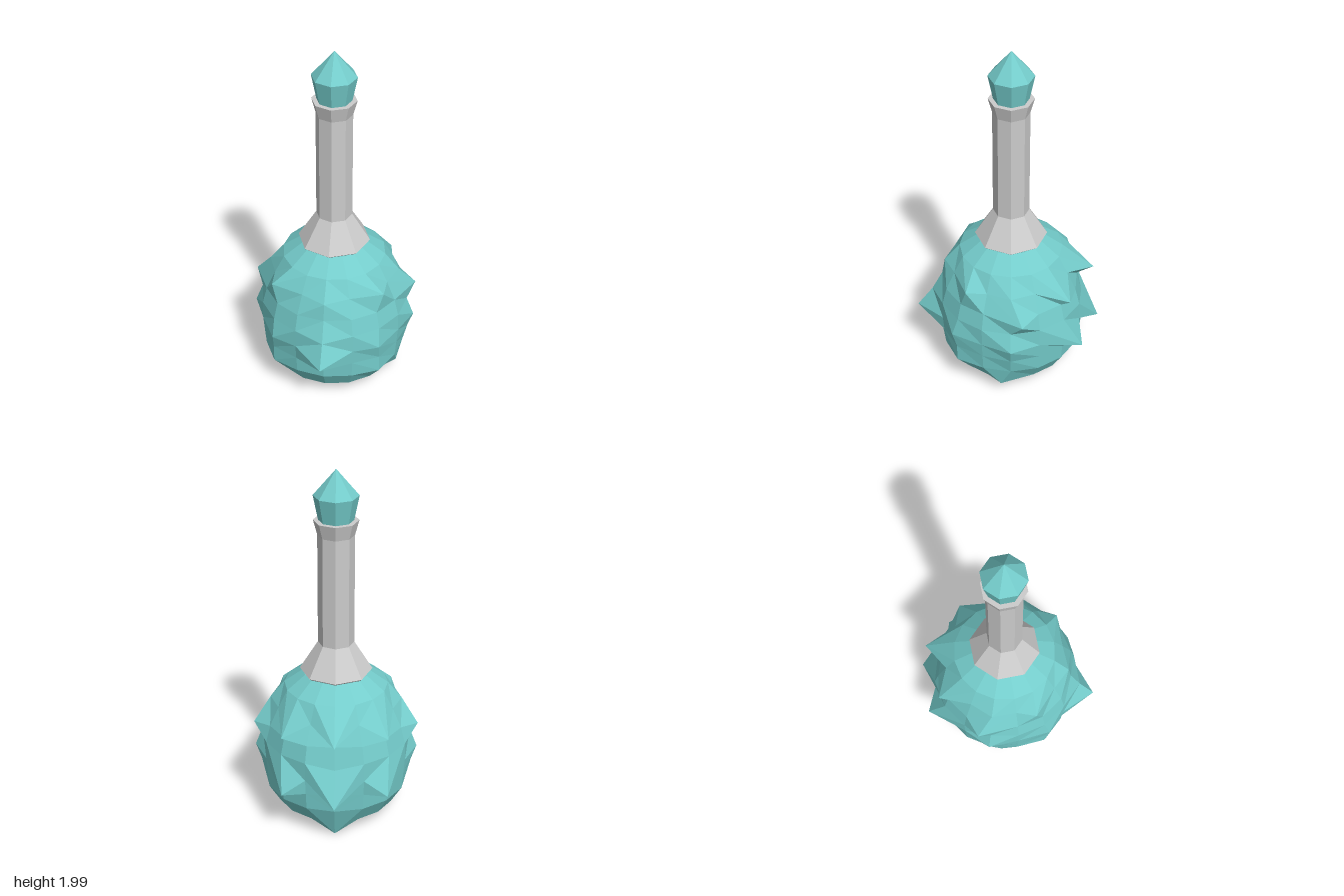
import * as THREE from 'three';

const AXIS_Z = -0.018;
const COLUMNS = 16;

// Rings of the tufted head, top to bottom: [radius, height]
const RINGS = [
  [0, 0.86], [0.18, 0.86], [0.283, 0.785], [0.335, 0.69], [0.385, 0.585], [0.41, 0.49],
  [0.412, 0.385], [0.405, 0.297], [0.397, 0.2], [0.335, 0.095], [0, 0.095],
];

// Tuft tips pulled out of the rings: [ring, column from front to back, x, y, z]
const TIPS = [
  [3, 0, 0, 0.68, 0.35], [3, 2, 0.305, 0.69, 0.225], [3, 4, 0.36, 0.69, -0.018],
  [3, 6, 0.285, 0.61, -0.34], [3, 8, 0, 0.63, -0.477],
  [4, 4, 0.45, 0.565, -0.08], [4, 8, 0, 0.585, -0.385],
  [5, 0, 0, 0.47, 0.425], [5, 8, 0, 0.46, -0.415],
  [6, 0, 0, 0.352, 0.51], [6, 2, 0.295, 0.385, 0.305], [6, 4, 0.45, 0.385, -0.018],
  [6, 6, 0.285, 0.3, -0.415], [6, 8, 0, 0.275, -0.515],
  [7, 2, 0.295, 0.297, 0.28], [7, 4, 0.42, 0.297, -0.018], [7, 8, 0, 0.305, -0.425],
  [8, 2, 0.295, 0.2, 0.28], [9, 4, 0.365, 0.08, 0.035], [9, 8, 0, 0.01, -0.345],
];

function headGeometry() {
  const rows = RINGS.map(([r, y]) => Array.from({ length: COLUMNS }, (_, k) => {
    const a = (k / COLUMNS) * Math.PI * 2;
    return [r * Math.sin(a), y, AXIS_Z + r * Math.cos(a)];
  }));
  for (const [ring, k, x, y, z] of TIPS) {
    rows[ring][(COLUMNS - k) % COLUMNS] = [-x, y, z];
    rows[ring][k] = [x, y, z];
  }
  const index = [];
  for (let i = 0; i < rows.length - 1; i++) {
    for (let k = 0; k < COLUMNS; k++) {
      const n = (k + 1) % COLUMNS;
      const a = i * COLUMNS + k, d = i * COLUMNS + n;
      const b = a + COLUMNS, c = d + COLUMNS;
      // diagonals mirrored between the two halves
      const quad = k < COLUMNS / 2 ? [a, b, c, a, c, d] : [a, b, d, b, c, d];
      if (i === 0) index.push(a, b, c);
      else if (i === rows.length - 2) index.push(a, b, d);
      else index.push(...quad);
    }
  }
  const geometry = new THREE.BufferGeometry();
  geometry.setAttribute('position', new THREE.Float32BufferAttribute(rows.flat(2), 3));
  geometry.setIndex(index);
  geometry.computeVertexNormals();
  return geometry;
}

// Eight-sided turned part; profile runs bottom to top
function turned(name, profile, material) {
  const points = profile.map(([r, y]) => new THREE.Vector2(r, y));
  const mesh = new THREE.Mesh(new THREE.LatheGeometry(points, 8), material);
  mesh.name = name;
  mesh.position.z = AXIS_Z;
  return mesh;
}

export function createModel() {
  const group = new THREE.Group();
  group.name = 'duster';
  const teal = new THREE.MeshStandardMaterial({ color: 0x74cccb, flatShading: true });
  const grey = new THREE.MeshStandardMaterial({ color: 0xcccccc, flatShading: true });

  const head = new THREE.Mesh(headGeometry(), teal);
  head.name = 'tuftedHead';
  group.add(head);

  // Handle with flared collar and rim
  group.add(turned('handle', [
    [0, 0.855], [0.18, 0.855], [0.197, 0.87], [0.098, 1.03], [0.098, 1.645], [0.12, 1.727], [0, 1.727],
  ], grey));

  // Pointed end knob
  group.add(turned('endKnob', [[0, 1.7], [0.088, 1.7], [0.12, 1.86], [0, 2]], teal));

  return group;
}
